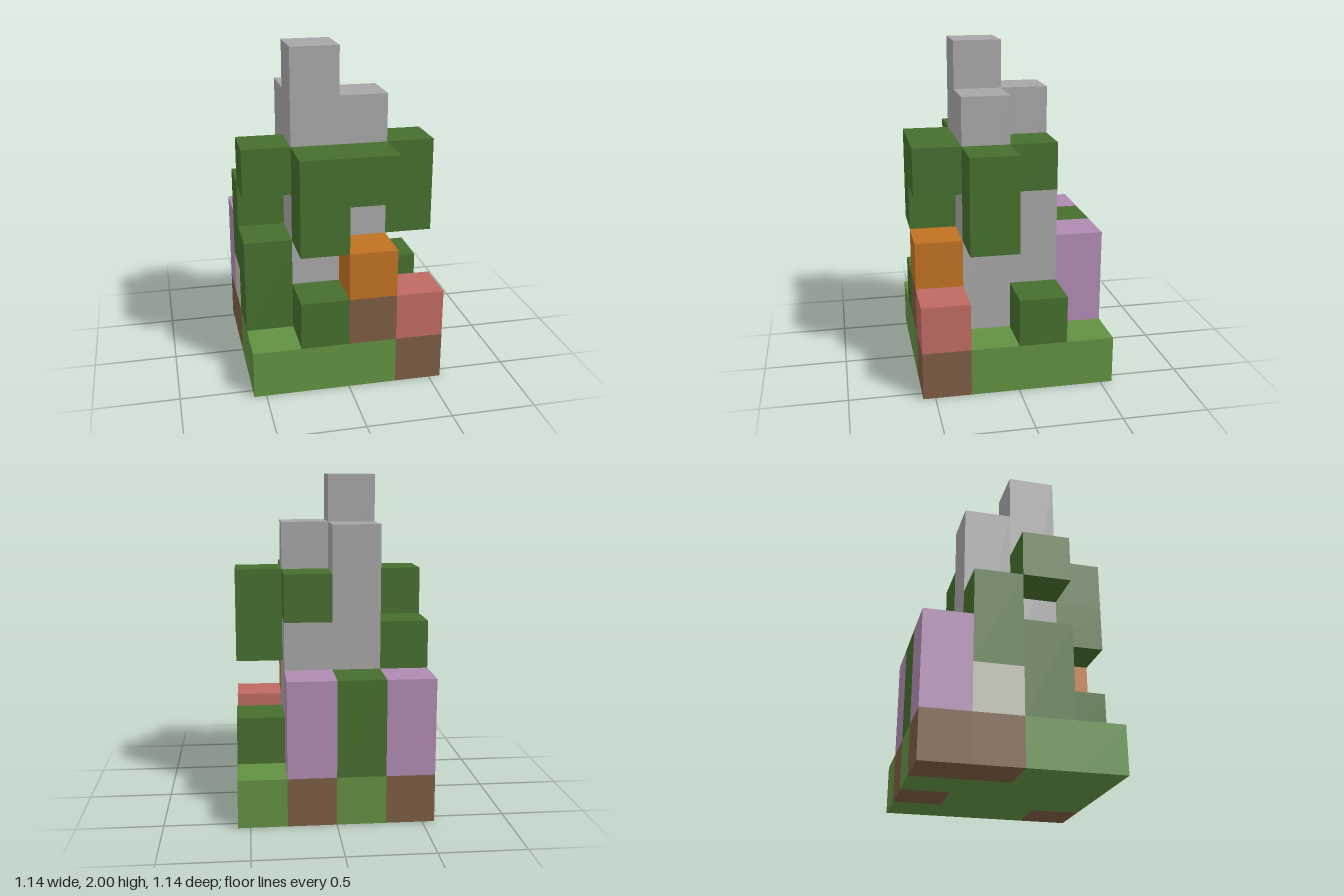
import * as THREE from 'three';

const U = 2 / 7; // edge of one block; the model is 4 x 7 x 4 blocks

const mat = (name, color) => {
  const m = new THREE.MeshStandardMaterial({ color });
  m.name = name;
  return m;
};

export function createModel() {
  const model = new THREE.Group();
  model.name = 'blockRock';

  const grass = mat('grassGreen', 0x629142);
  const leaf = mat('leafGreen', 0x466e2d);
  const stone = mat('stoneGrey', 0xa6a6a6);
  const pale = mat('paleStone', 0xc0c0b0);
  const soil = mat('soilBrown', 0x7d5d42);
  const lilac = mat('lilac', 0xb08ab3);
  const rose = mat('roseRed', 0xc06a62);
  const orange = mat('orange', 0xc07222);

  // Box of whole blocks: x, y, z is its lowest corner on the block grid (z = 0 is the back)
  const block = (name, material, x, y, z, w = 1, h = 1, d = 1) => {
    const mesh = new THREE.Mesh(new THREE.BoxGeometry(w * U, h * U, d * U), material);
    mesh.position.set((x + w / 2 - 2) * U, (y + h / 2) * U, (z + d / 2 - 2) * U);
    mesh.name = name;
    model.add(mesh);
  };

  // Ground slab with bare soil patches
  const soilCells = ['0,0', '2,0', '0,1', '3,3'];
  for (let x = 0; x < 4; x++) {
    for (let z = 0; z < 4; z++) {
      const bare = soilCells.includes(`${x},${z}`);
      block(bare ? 'soilPatch' : 'grassTile', bare ? soil : grass, x, 0, z);
    }
  }

  // Stepped stone core
  block('stoneTower', stone, 1, 1, 2, 1, 6, 1);
  block('stoneFrontStep', stone, 2, 1, 2, 1, 5, 1);
  block('stoneBackStep', stone, 1, 1, 1, 1, 5, 1);
  block('stoneBackCorner', stone, 2, 1, 1, 1, 3, 1);
  block('paleStone', pale, 0, 1, 1);

  // Foliage on the ground
  block('backBush', leaf, 1, 1, 0, 1, 2, 1);
  block('sideBush', leaf, 0, 1, 2, 1, 2, 1);
  block('tallSideBush', leaf, 0, 2, 1, 1, 2, 1);
  block('frontBush', leaf, 1, 1, 3);
  block('smallBush', leaf, 3, 1, 1);

  // Foliage hanging from the stone
  block('frontCanopy', leaf, 1, 4, 3, 2, 1, 1);
  block('frontVine', leaf, 1, 3, 3);
  block('leftVine', leaf, 3, 3, 2, 1, 2, 1);
  block('rightCanopy', leaf, 0, 4, 2);
  block('backCanopy', leaf, 2, 4, 1);

  // Flowers and their soil
  for (const x of [0, 2]) block('lilacFlower', lilac, x, 1, 0, 1, 2, 1);
  block('roseFlower', rose, 3, 1, 3);
  block('flowerSoil', soil, 2, 1, 3);
  block('orangeFlower', orange, 2, 2, 3);

  return model;
}
